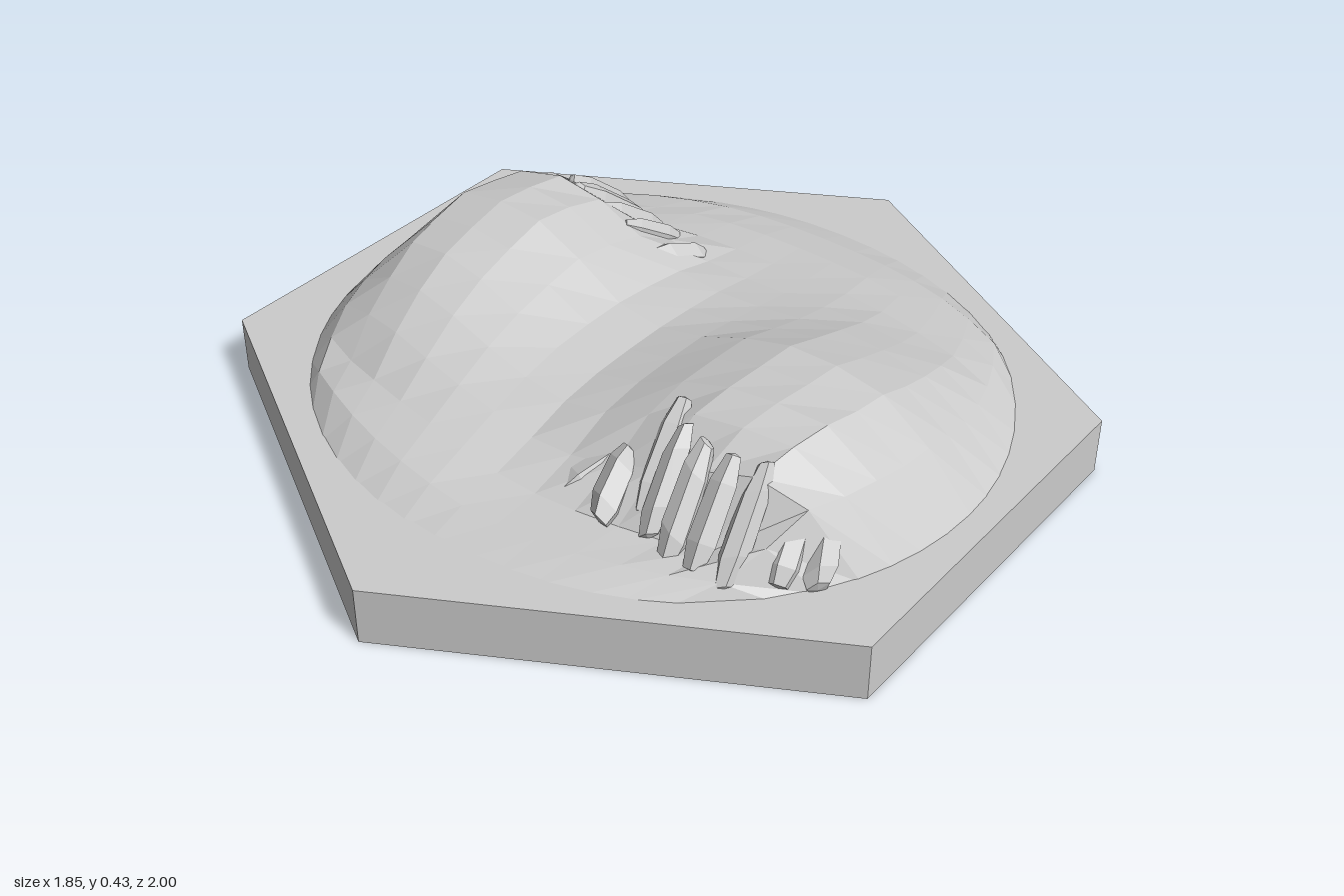
import * as THREE from 'three';

const TOP = 0.143;
const material = new THREE.MeshStandardMaterial({ color: 0xcccccc, flatShading: true, side: THREE.DoubleSide });

// Terrain heights (hundredths of a unit) over a coarse grid of x columns and z rows
const XS = [-0.8, -0.6, -0.45, -0.3, -0.15, 0.05, 0.25, 0.4, 0.6, 0.8];
const ZS = [-0.8, -0.55, -0.4, -0.2, 0, 0.2, 0.38, 0.5, 0.8];
const HEIGHTS = [
  [15, 15, 15, 15, 15, 15, 15, 15, 15, 15],
  [15, 16, 18, 20, 21, 21, 21, 20, 18, 15],
  [15, 19, 21, 22, 22, 22, 23, 23, 21, 15],
  [18, 38, 42, 38, 27, 25, 28, 31, 29, 18],
  [20, 41, 43, 41, 29, 26, 34, 38, 37, 23],
  [18, 36, 39, 36, 29, 26, 35, 39, 39, 23],
  [15, 27, 31, 30, 26, 24, 31, 38, 36, 20],
  [15, 18, 22, 23, 23, 19, 19, 19, 18, 15],
  [15, 15, 15, 15, 15, 15, 15, 15, 15, 15],
];

function locate(list, value) {
  const v = THREE.MathUtils.clamp(value, list[0], list[list.length - 1]);
  let i = 0;
  while (i < list.length - 2 && v > list[i + 1]) i++;
  return [i, (v - list[i]) / (list[i + 1] - list[i])];
}

function heightAt(x, z) {
  const [i, a] = locate(XS, x);
  const [j, b] = locate(ZS, z);
  const { lerp } = THREE.MathUtils;
  return lerp(lerp(HEIGHTS[j][i], HEIGHTS[j][i + 1], a), lerp(HEIGHTS[j + 1][i], HEIGHTS[j + 1][i + 1], a), b) / 100;
}

function addMesh(parent, name, geometry) {
  const mesh = new THREE.Mesh(geometry, material);
  mesh.name = name;
  parent.add(mesh);
  return mesh;
}

// Hexagonal tile, open underneath
function tileGeometry() {
  const profile = [[1, 0], [1, TOP], [0, TOP]].map(([r, y]) => new THREE.Vector2(r, y));
  const geo = new THREE.LatheGeometry(profile, 6);
  const p = geo.attributes.position;
  for (let i = 0; i < p.count; i++) {
    if (Math.abs(p.getX(i)) > 0.5) p.setXYZ(i, p.getX(i) * 1.068, p.getY(i), p.getZ(i) * 0.95);
  }
  return geo;
}

// Square grid rounded into an oval and lifted to the terrain height
function hillGeometry() {
  const geo = new THREE.PlaneGeometry(2, 2, 14, 14).rotateX(-Math.PI / 2);
  const p = geo.attributes.position;
  for (let i = 0; i < p.count; i++) {
    const u = p.getX(i), v = p.getZ(i);
    const x = 0.01 + 0.86 * u * Math.sqrt(1 - v * v / 2);
    const z = 0.795 * v * Math.sqrt(1 - u * u / 2);
    const rim = Math.max(Math.abs(u), Math.abs(v)) > 0.99;
    p.setXYZ(i, x, rim ? 0.135 : heightAt(x, z), z);
  }
  return geo;
}

// Faceted rock slab running from a foot point to a head point
function addRock(parent, [x0, y0, z0, x1, y1, z1, r], index) {
  const foot = new THREE.Vector3(x0, y0, z0), head = new THREE.Vector3(x1, y1, z1);
  const axis = head.clone().sub(foot), length = axis.length();
  const profile = [[0, 0], [0.65, 0.03], [1, 0.25], [0.92, 0.75], [0.5, 0.98], [0, 1]]
    .map(([k, t]) => new THREE.Vector2(k * r, t * length));
  const geo = new THREE.LatheGeometry(profile, 5 + index % 2, index * 1.3);
  const p = geo.attributes.position;
  // Slanted ends
  for (let i = 0; i < p.count; i++) {
    p.setY(i, p.getY(i) + p.getX(i) * 0.6 * Math.sin(index * 2.1));
  }
  const rock = addMesh(parent, 'rock', geo);
  rock.position.copy(foot);
  rock.quaternion.setFromUnitVectors(new THREE.Vector3(0, 1, 0), axis.normalize());
}

// Foot xyz, head xyz, radius
const FRONT_ROCKS = [
  [0.16, 0.18, 0.52, 0.22, 0.24, 0.37, 0.035],
  [0.20, 0.18, 0.47, 0.25, 0.26, 0.33, 0.032],
  [0.29, 0.19, 0.56, 0.25, 0.27, 0.40, 0.04],
  [0.36, 0.20, 0.50, 0.31, 0.37, 0.29, 0.035],
  [0.40, 0.18, 0.53, 0.37, 0.37, 0.36, 0.032],
  [0.46, 0.16, 0.55, 0.44, 0.37, 0.38, 0.036],
  [0.53, 0.17, 0.55, 0.51, 0.37, 0.38, 0.034],
  [0.60, 0.15, 0.54, 0.57, 0.36, 0.35, 0.033],
  [0.63, 0.15, 0.47, 0.61, 0.30, 0.33, 0.032],
  [0.68, 0.15, 0.46, 0.65, 0.27, 0.33, 0.04],
  [0.75, 0.15, 0.41, 0.70, 0.23, 0.31, 0.037],
];
const BACK_ROCKS = [
  [-0.74, 0.18, -0.25, -0.65, 0.27, -0.18, 0.034],
  [-0.68, 0.18, -0.33, -0.63, 0.30, -0.20, 0.034],
  [-0.60, 0.20, -0.43, -0.55, 0.35, -0.24, 0.034],
  [-0.53, 0.21, -0.40, -0.51, 0.37, -0.21, 0.034],
  [-0.44, 0.22, -0.43, -0.46, 0.39, -0.23, 0.034],
  [-0.37, 0.22, -0.41, -0.42, 0.39, -0.21, 0.033],
  [-0.31, 0.22, -0.40, -0.35, 0.36, -0.21, 0.034],
  [-0.24, 0.22, -0.39, -0.28, 0.33, -0.22, 0.032],
  [-0.15, 0.22, -0.37, -0.19, 0.28, -0.22, 0.034],
];

export function createModel() {
  const model = new THREE.Group();
  model.name = 'hillTile';
  addMesh(model, 'tileBase', tileGeometry());
  addMesh(model, 'hills', hillGeometry());

  for (const [name, rocks] of [['frontRocks', FRONT_ROCKS], ['backRocks', BACK_ROCKS]]) {
    const cluster = new THREE.Group();
    cluster.name = name;
    rocks.forEach((rock, i) => addRock(cluster, rock, i));
    model.add(cluster);
  }
  return model;
}
